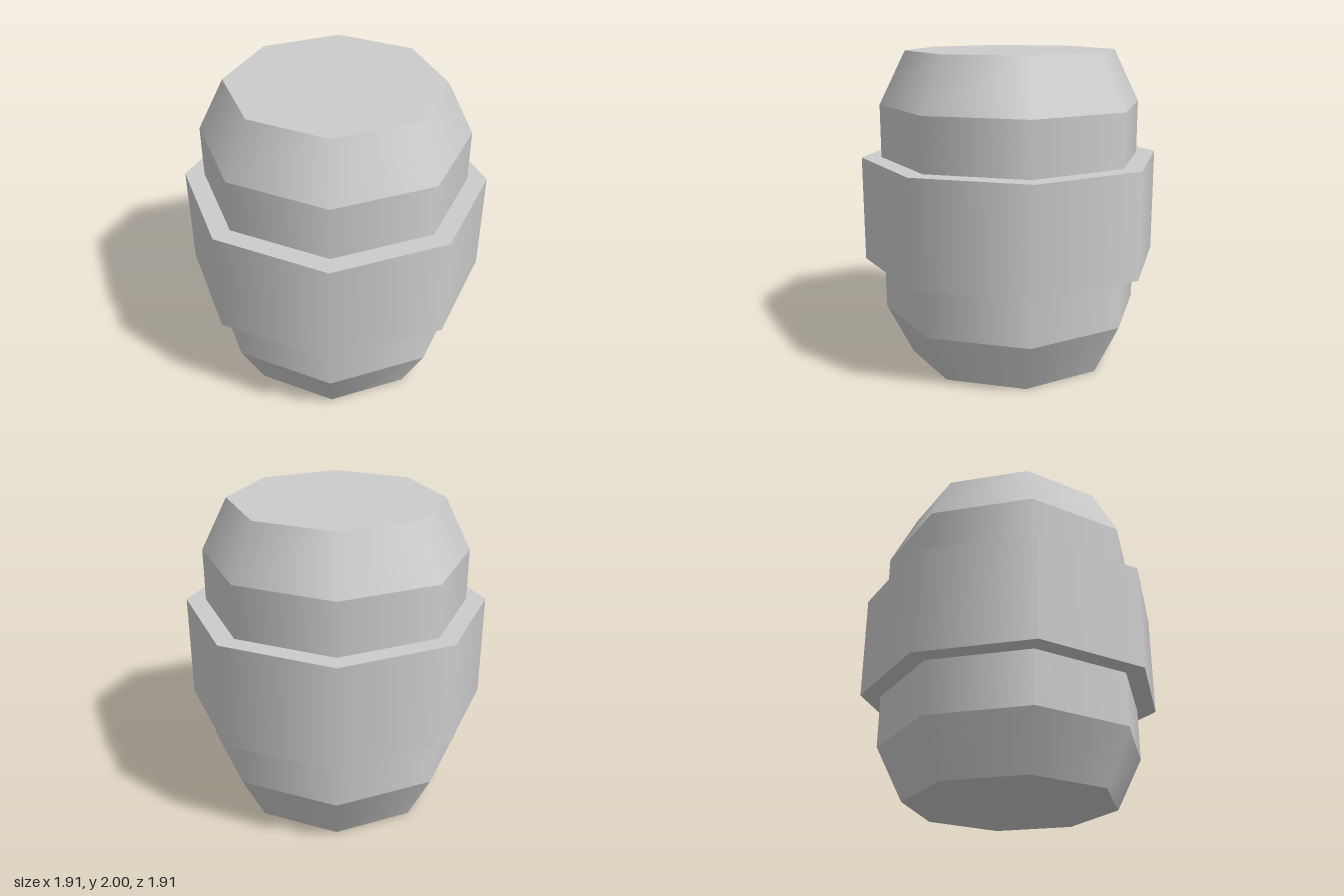
import * as THREE from 'three';

const SIDES = 8;
const END_R = 2 / 3, BODY_R = 5 / 6, HOOP_R = 0.957;
const STEP = 1 / 3;

export function createModel() {
  const group = new THREE.Group();
  const material = new THREE.MeshStandardMaterial({ color: 0xcccccc });

  const add = (name, geometry, y) => {
    const mesh = new THREE.Mesh(geometry, material);
    mesh.name = name;
    mesh.position.y = y;
    group.add(mesh);
    return mesh;
  };
  // Octagonal section with corners on the x and z axes
  const section = (name, rTop, rBottom, y0, y1, open = true) =>
    add(name, new THREE.CylinderGeometry(rTop, rBottom, y1 - y0, SIDES, 1, open), (y0 + y1) / 2);

  // Barrel body: tapered ends around a straight middle
  section('lowerTaper', BODY_R, END_R, 0, STEP);
  section('barrelWall', BODY_R, BODY_R, STEP, 5 * STEP);
  section('upperTaper', END_R, BODY_R, 5 * STEP, 2);

  // Flat ends
  add('lid', new THREE.CircleGeometry(END_R, SIDES), 2).rotation.x = -Math.PI / 2;
  add('base', new THREE.CircleGeometry(END_R, SIDES), 0).rotation.x = Math.PI / 2;

  // Wide raised band around the middle
  section('hoop', HOOP_R, HOOP_R, 2 * STEP, 4 * STEP, false);

  return group;
}
